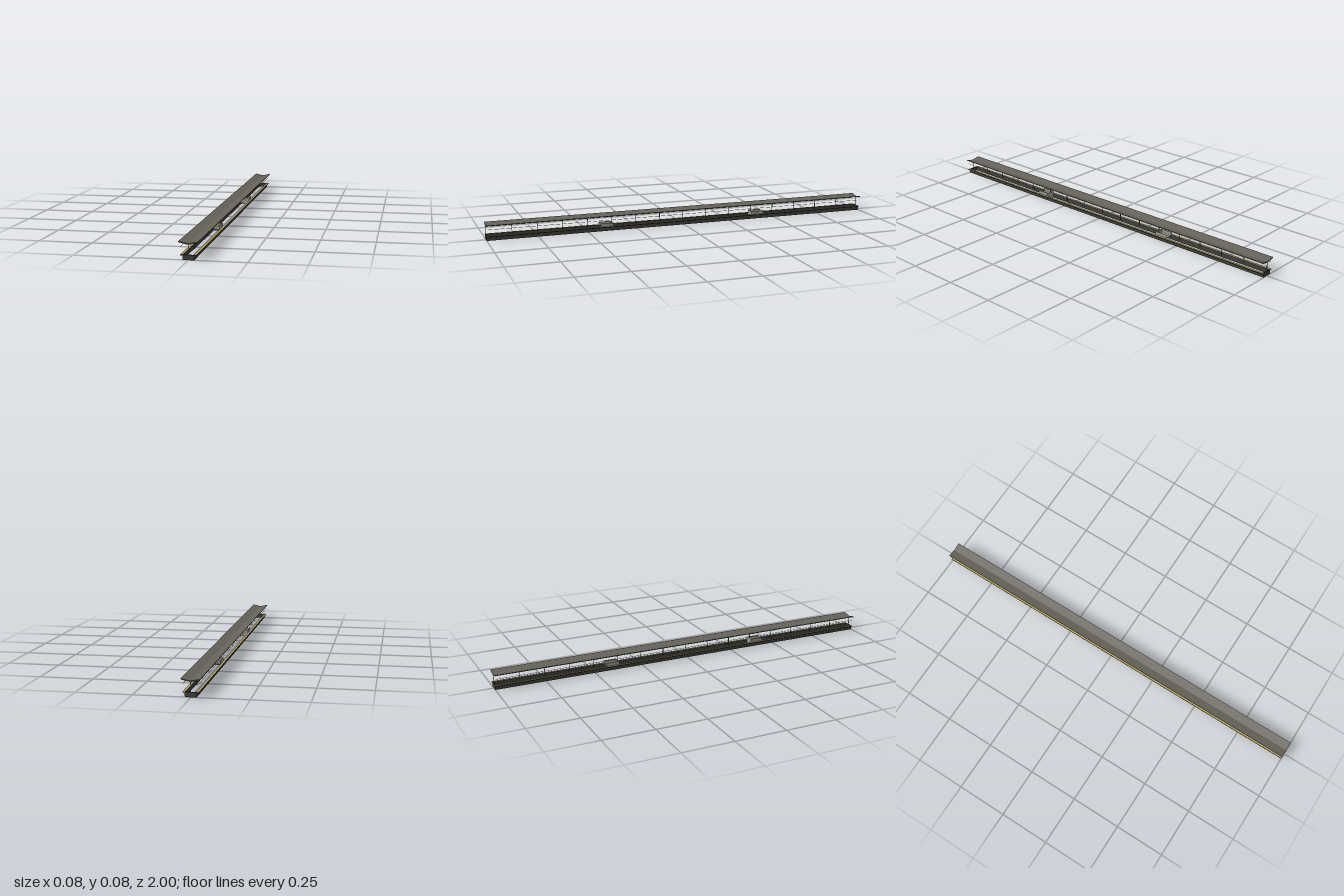
import * as THREE from 'three';

const paint = (name, color) => {
  const m = new THREE.MeshStandardMaterial({ color });
  m.name = name;
  return m;
};

export function createModel() {
  const group = new THREE.Group();
  const roofGrey = paint('roof grey', 0x66635a);
  const undersideGrey = paint('roof underside grey', 0x54544f);
  const darkSteel = paint('dark steel', 0x30312e);
  const columnGrey = paint('column grey', 0x5e5f5a);
  const wallGrey = paint('wall grey', 0x403f3a);
  const paleGrey = paint('pale paving grey', 0xa2a29c);
  const lampWhite = paint('lamp white', 0xd4d4cc);
  const shelterGrey = paint('shelter grey', 0x9c9d90);
  const yellow = paint('safety yellow', 0xd8ac18);

  const add = (name, geo, mat, parent = group) => {
    const mesh = new THREE.Mesh(geo, mat);
    mesh.name = name;
    parent.add(mesh);
    return mesh;
  };
  const box = (name, mat, w, h, d, x, y, z, parent = group) => {
    const mesh = add(name, new THREE.BoxGeometry(w, h, d), mat, parent);
    mesh.position.set(x, y, z);
    return mesh;
  };
  const extrude = (points, depth) => {
    const shape = new THREE.Shape(points.map(([x, y]) => new THREE.Vector2(x, y)));
    return new THREE.ExtrudeGeometry(shape, { depth, bevelEnabled: false })
      .translate(0, 0, -depth / 2);
  };

  // Butterfly roof: a shallow V section run along the platform
  const vSheet = (name, mat, yLow, yHigh, thick, w) => add(name, extrude([
    [-w, yHigh], [-w, yHigh - thick], [0, yLow - thick],
    [w, yHigh - thick], [w, yHigh], [0, yLow],
  ], 2), mat);
  vSheet('roofSheet', roofGrey, 0.07, 0.079, 0.002, 0.042);
  vSheet('roofUnderside', undersideGrey, 0.068, 0.077, 0.0015, 0.042);

  // Columns with sloping rafters
  const slope = Math.atan2(0.009, 0.042);
  for (let i = 0; i <= 16; i++) {
    const z = -0.9985 + (i * 1.997) / 16;
    box('column', columnGrey, 0.0028, 0.046, 0.002, 0, 0.044, z);
    for (const side of [-1, 1]) {
      const rafter = box('rafter', undersideGrey, 0.041, 0.0015, 0.002, side * 0.02, 0.0698, z);
      rafter.rotation.z = side * slope;
    }
  }

  // Overhanging platform edge, its top split into paving, safety line and rim
  const strips = [1, 1, 1, 2, 2, 0];
  const edgeMaterials = [darkSteel, paleGrey, yellow];
  const platformEdge = (side) => {
    const n = strips.length;
    const geo = new THREE.BoxGeometry(0.0117, 0.0034, 2, n, 1, 1);
    geo.clearGroups();
    geo.addGroup(0, 12, 0);
    strips.forEach((material, i) => {
      geo.addGroup(12 + 6 * (side > 0 ? i : n - 1 - i), 6, material);
    });
    geo.addGroup(12 + 6 * n, 18 * n, 0);
    add('platformEdge', geo, edgeMaterials).position.set(side * 0.02915, 0.0205, 0);
  };

  for (const side of [-1, 1]) {
    // Thin light tubes running below the eaves
    const tube = add('lightTube', new THREE.CylinderGeometry(0.0009, 0.0009, 2, 12), lampWhite);
    tube.rotation.x = Math.PI / 2;
    tube.position.set(side * 0.034, 0.056, 0);
    // Platform side walls
    box('sideWall', wallGrey, 0.0015, 0.02, 2, side * 0.0243, 0.01, 0);
    platformEdge(side);
  }

  // End walls of the platform
  for (const end of [-1, 1]) {
    box('endWall', wallGrey, 0.05, 0.02, 0.002, 0, 0.01, end * 0.999);
    box('endEdge', darkSteel, 0.047, 0.0034, 0.006, 0, 0.0205, end * 0.997);
  }

  // Two stair shelters, open toward the platform ends and going down to the middle
  const sideProfile = [[-0.033, 0.001], [0.033, 0.021], [0.033, 0.038], [-0.033, 0.038]];
  for (const end of [-1, 1]) {
    const shelter = new THREE.Group();
    shelter.name = 'stairShelter';
    shelter.position.z = end * 0.405;
    shelter.rotation.y = end > 0 ? 0 : Math.PI;
    group.add(shelter);
    for (const s of [-1, 1]) {
      const wall = add('shelterSide', extrude(sideProfile, 0.0024), shelterGrey, shelter);
      wall.rotation.y = -Math.PI / 2;
      wall.position.x = s * 0.0208;
    }
    box('shelterBackWall', shelterGrey, 0.0396, 0.037, 0.0015, 0, 0.0195, -0.0322, shelter);
    const ramp = box('stairRamp', shelterGrey, 0.0396, 0.001, 0.068, 0, 0.0115, 0, shelter);
    ramp.rotation.x = -Math.atan2(0.02, 0.066);
  }
  return group;
}
